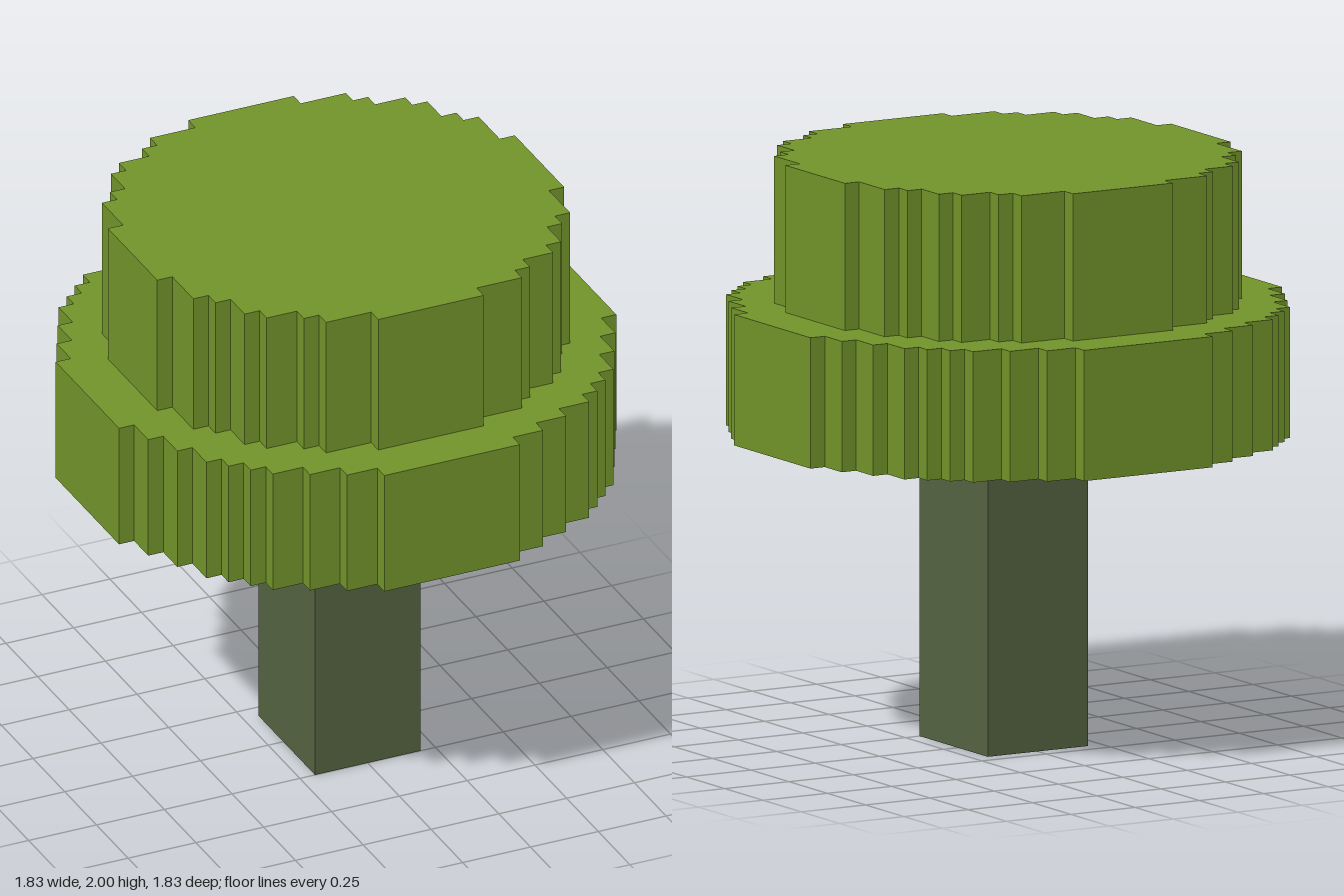
import * as THREE from 'three';

const U = 1 / 18; // one block of the stepped grid

// Stepped round slab: corners run from the far edge to the side edge of one quarter
function steppedDisc(corners, bottom, top) {
  const quarter = [];
  corners.forEach(([x, y], i) => {
    quarter.push([x, y]);
    if (i < corners.length - 1) quarter.push([x, corners[i + 1][1]]);
  });
  const points = [];
  let turn = quarter;
  for (let q = 0; q < 4; q++) {
    turn.forEach(([x, y]) => points.push(new THREE.Vector2(x * U, y * U)));
    turn = turn.map(([x, y]) => [y, -x]);
  }
  const geometry = new THREE.ExtrudeGeometry(new THREE.Shape(points), {
    depth: (top - bottom) * U,
    bevelEnabled: false,
  });
  return geometry.rotateX(-Math.PI / 2).translate(0, bottom * U, 0);
}

export function createModel() {
  const leafGreen = new THREE.MeshStandardMaterial({ name: 'leafGreen', color: 0x73962b });
  const barkOlive = new THREE.MeshStandardMaterial({ name: 'barkOlive', color: 0x556441 });

  const model = new THREE.Group();
  model.name = 'blockTree';
  const add = (name, geometry, material) => {
    const mesh = new THREE.Mesh(geometry, material);
    mesh.name = name;
    model.add(mesh);
  };

  // Trunk, one block deeper towards the front
  add('trunk', new THREE.BoxGeometry(7 * U, 19 * U, 8 * U).translate(0, 9.5 * U, 0.5 * U), barkOlive);

  // Wide lower canopy
  add('lowerCanopy', steppedDisc([
    [4.5, 16.5], [6.5, 15.5], [8.5, 14.5], [10.5, 13.5], [11.5, 12.5],
    [12.5, 11.5], [13.5, 10.5], [14.5, 8.5], [15.5, 6.5], [16.5, 4.5],
  ], 19, 27), leafGreen);

  // Narrower upper canopy
  add('upperCanopy', steppedDisc([
    [3.5, 13.5], [6.5, 12.5], [7.5, 11.5], [9.5, 10.5],
    [10.5, 9.5], [11.5, 7.5], [12.5, 6.5], [13.5, 3.5],
  ], 27, 36), leafGreen);

  return model;
}
